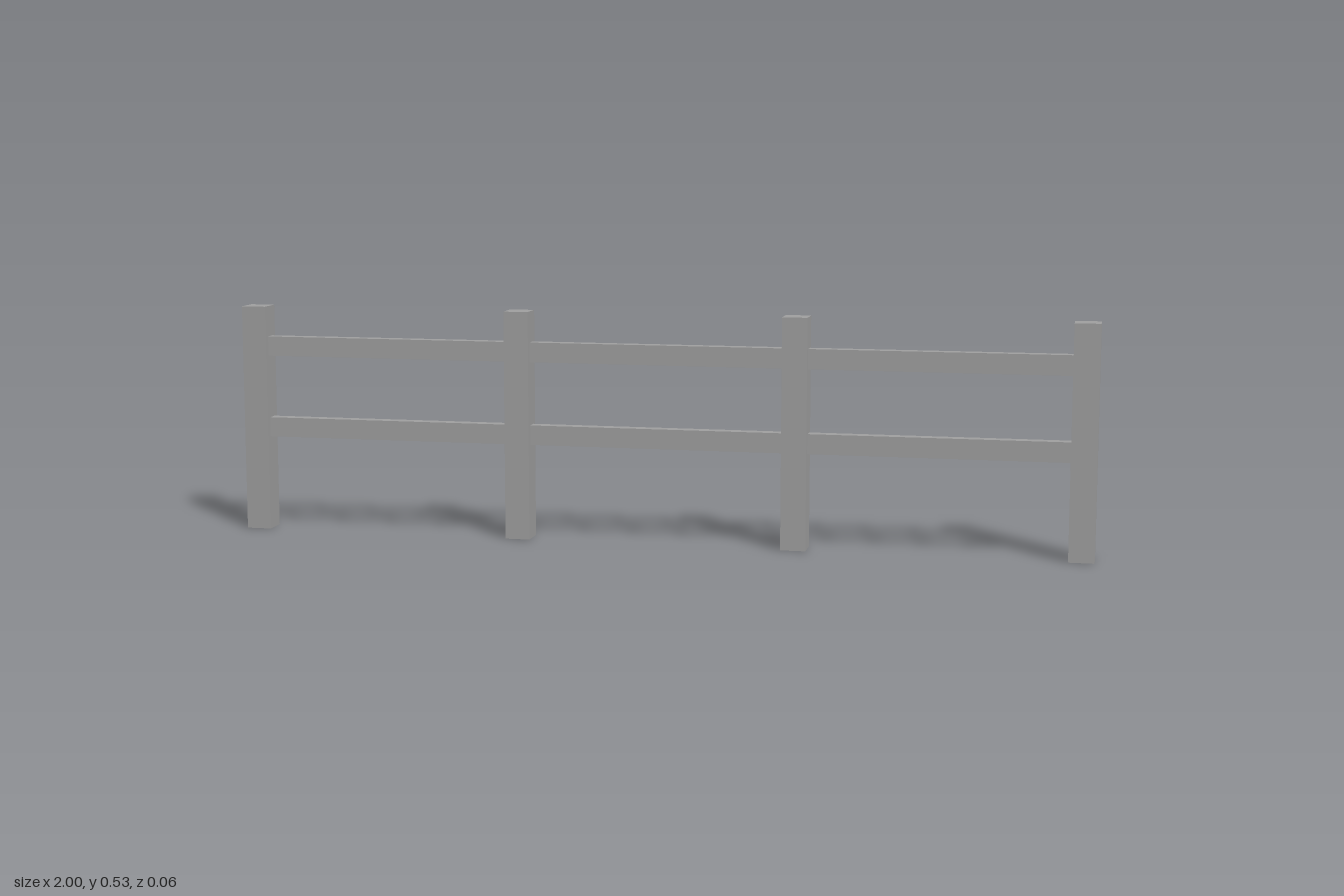
import * as THREE from 'three';

export function createModel() {
  const fence = new THREE.Group();
  fence.name = 'fence';
  const greyWood = new THREE.MeshStandardMaterial({ color: 0xa0a0a0 });
  greyWood.name = 'greyWood';

  const postWidth = 0.058, postHeight = 0.534;
  const railHeight = 0.046, railDepth = 0.028;
  const postX = [-0.971, -0.327, 0.324, 0.971];

  const addBox = (name, w, h, d, x, y) => {
    const mesh = new THREE.Mesh(new THREE.BoxGeometry(w, h, d), greyWood);
    mesh.name = name;
    mesh.position.set(x, y, 0);
    fence.add(mesh);
  };

  // Square upright posts
  postX.forEach((x, i) =>
    addBox(`post${i + 1}`, postWidth, postHeight, postWidth, x, postHeight / 2));

  // Two rails in each bay, butted between neighbouring posts
  for (let i = 0; i < postX.length - 1; i++) {
    const length = postX[i + 1] - postX[i] - postWidth;
    const middle = (postX[i] + postX[i + 1]) / 2;
    addBox(`lowerRail${i + 1}`, length, railHeight, railDepth, middle, 0.245);
    addBox(`upperRail${i + 1}`, length, railHeight, railDepth, middle, 0.439);
  }
  return fence;
}
